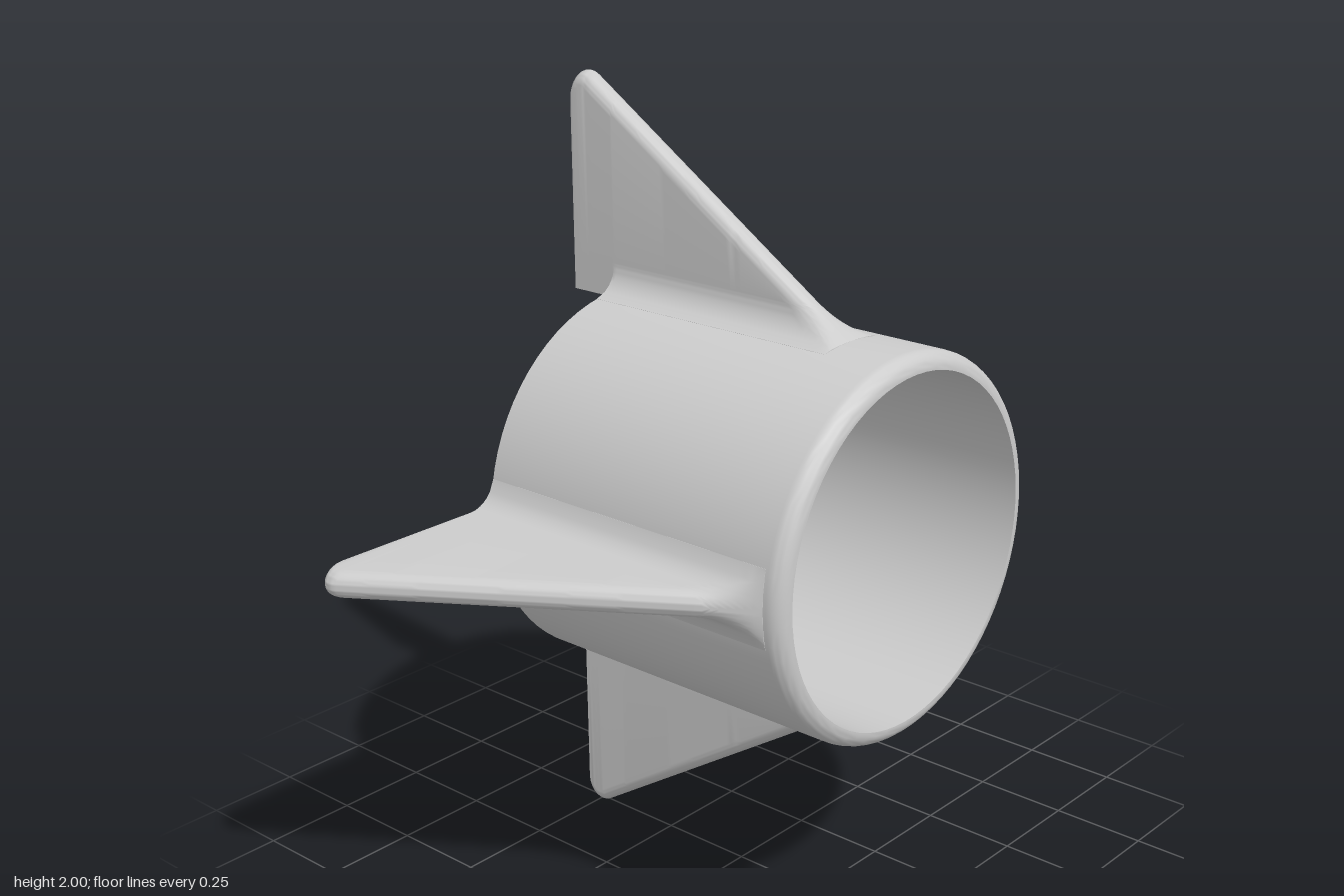
import * as THREE from 'three';
import { toCreasedNormals } from 'three/addons/utils/BufferGeometryUtils.js';

const R = 0.475, INNER = 0.432, BACK = -0.385, FRONT = 0.515; // tube, along x
const HALF = 0.033;    // half thickness of a fin
const FILLET = 0.08;   // radius of the blend between fin and tube
const FIN_LENGTH = 0.852, SLOPE = 0.65;
const COS = 1 / Math.hypot(1, SLOPE);

// Blend circle: tangent to the fin side and to the tube
const filletTop = Math.sqrt((R + FILLET) ** 2 - (HALF + FILLET) ** 2);
const filletFoot = filletTop * R / (R + FILLET);
const footWidth = (HALF + FILLET) * R / (R + FILLET);

function halfWidth(r, blended) {
  if (!blended || r >= filletTop) return HALF;
  if (r <= filletFoot) return footWidth;
  return HALF + FILLET - Math.sqrt(FILLET ** 2 - (filletTop - r) ** 2);
}

// One closed cross-section at x: up the +z side, down the -z side
function finSection(x, h, blended) {
  const base = blended ? 0.445 : 0.455;
  const edge = THREE.MathUtils.clamp(HALF * (h - 0.46) / 0.083, 0.006, HALF);
  const radii = [base];
  for (let i = 0; i <= 10; i++) {
    const a = i / 10 * Math.PI / 2;
    radii.push(filletFoot + (filletTop - filletFoot) * Math.sin(a));
    radii.push(h - edge / COS * (1 - Math.sin(a)));
  }
  const rs = radii.map(r => THREE.MathUtils.clamp(r, base, h)).sort((a, b) => a - b);
  const side = rs.map(r => {
    const d = Math.min((h - r) * COS / edge, 1); // rounded outer edge
    return [x, r, halfWidth(r, blended) * Math.sqrt(Math.max(0, 1 - (1 - d) ** 2))];
  });
  return [...side, ...side.map(([px, r, w]) => [px, r, -w]).reverse()];
}

// Swept triangular fin, pointing to +y, its trailing edge at x0
function finGeometry(x0) {
  const xEnd = x0 + FIN_LENGTH;
  const stations = [];
  const tipAngle = Math.PI / 2 + Math.atan(SLOPE);
  const slant = x => R + SLOPE * (xEnd - x);
  const tipY = slant(x0 + HALF) - HALF / COS;
  for (let i = 0; i <= 8; i++) {
    const a = i / 8 * tipAngle;
    stations.push([x0 + HALF * (1 - Math.cos(a)), tipY + HALF * Math.sin(a)]);
  }
  const start = stations[8][0];
  for (let i = 1; i <= 50; i++) {
    const x = start + (xEnd - start) * i / 50;
    stations.push([x, slant(x)]);
  }

  // The part overhanging the tube has no blend; it steps out at the tube's end
  const sections = [];
  let blended = x0 >= BACK;
  for (const [x, h] of stations) {
    if (!blended && x > BACK) {
      sections.push(finSection(BACK, slant(BACK), false), finSection(BACK, slant(BACK), true));
      blended = true;
    }
    sections.push(finSection(x, h, blended));
  }

  const n = sections[0].length, index = [];
  for (let i = 0; i < sections.length - 1; i++) {
    for (let k = 0; k < n; k++) {
      const a = i * n + k, b = i * n + (k + 1) % n;
      index.push(a, a + n, b, b, a + n, b + n);
    }
  }
  // End caps
  const last = (sections.length - 1) * n;
  for (let k = 0; k < n / 2 - 1; k++) {
    const p = k, p1 = k + 1, q = n - 1 - k, q1 = n - 2 - k;
    index.push(p, p1, q, p1, q1, q);
    index.push(last + p, last + q, last + p1, last + p1, last + q, last + q1);
  }
  const geometry = new THREE.BufferGeometry();
  geometry.setAttribute('position', new THREE.Float32BufferAttribute(sections.flat(2), 3));
  geometry.setIndex(index);
  return toCreasedNormals(geometry, 0.6);
}

// Hollow tube with a rounded front rim
function tubeGeometry() {
  const round = 0.04;
  const points = [new THREE.Vector2(INNER, BACK), new THREE.Vector2(R, BACK)];
  for (let i = 0; i <= 8; i++) {
    const a = i / 8 * Math.PI / 2;
    points.push(new THREE.Vector2(R - round + round * Math.cos(a), FRONT - round + round * Math.sin(a)));
  }
  points.push(new THREE.Vector2(INNER, FRONT), new THREE.Vector2(INNER, BACK));
  const geometry = new THREE.LatheGeometry(points, 72);
  geometry.rotateZ(-Math.PI / 2);
  return toCreasedNormals(geometry, 0.6);
}

export function createModel() {
  const model = new THREE.Group();
  model.name = 'finnedTube';
  const material = new THREE.MeshStandardMaterial({ color: 0xcccccc });

  const tube = new THREE.Mesh(tubeGeometry(), material);
  tube.name = 'tube';
  tube.position.y = 1;
  model.add(tube);

  // Upper and lower fins overhang the tube; front and back fins sit flush
  const overhanging = finGeometry(-0.522);
  const flush = finGeometry(BACK);
  ['topFin', 'frontFin', 'bottomFin', 'backFin'].forEach((name, i) => {
    const fin = new THREE.Mesh(i % 2 ? flush : overhanging, material);
    fin.name = name;
    fin.position.y = 1;
    fin.rotation.x = i * Math.PI / 2;
    model.add(fin);
  });
  return model;
}
